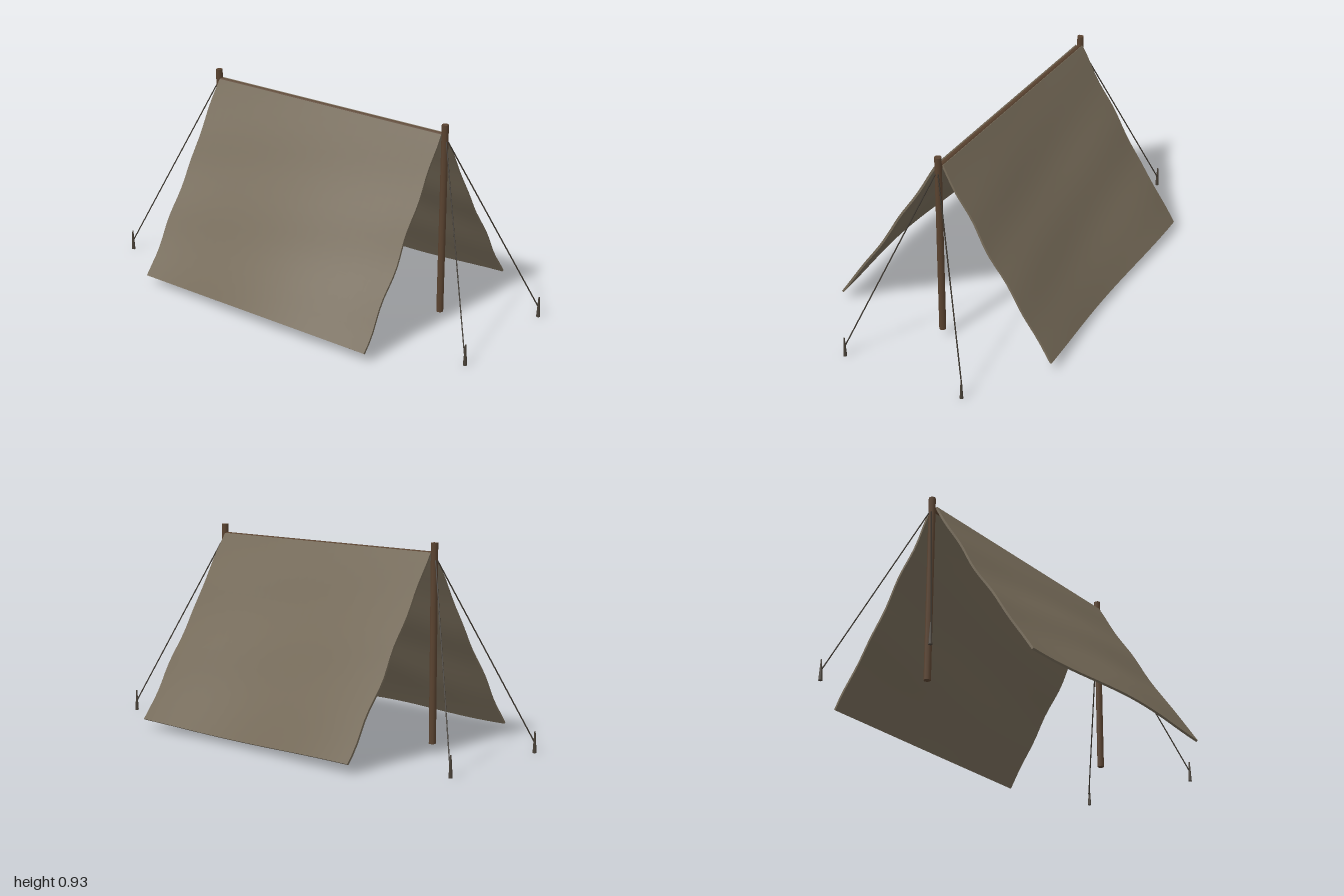
import * as THREE from 'three';

const mat = (color) => new THREE.MeshStandardMaterial({ color, side: THREE.DoubleSide });
const canvasMat = mat(0x746957);
const woodMat = mat(0x5a4330);
const ropeMat = mat(0x3a342c);
const stakeMat = mat(0x4a4238);
const RIDGE_Z = -0.013;

// Round bar between two points
function bar(name, a, b, r0, r1, material, sides = 8) {
  const dir = b.clone().sub(a);
  const mesh = new THREE.Mesh(new THREE.CylinderGeometry(r1, r0, dir.length(), sides), material);
  mesh.position.copy(a).add(b).multiplyScalar(0.5);
  mesh.quaternion.setFromUnitVectors(new THREE.Vector3(0, 1, 0), dir.normalize());
  mesh.name = name;
  return mesh;
}

// Sloping cloth slab, gently sagging and rippled; side is +1 for front, -1 for back
function canvasPanel(name, side) {
  const top = new THREE.Vector2(RIDGE_Z + side * 0.012, 0.885);
  const bottom = new THREE.Vector2(side * 0.547, side > 0 ? 0.048 : 0.036);
  const along = bottom.clone().sub(top);
  const out = new THREE.Vector2(-along.y, along.x).normalize().multiplyScalar(side);
  out.y = Math.abs(out.y);
  const geo = new THREE.BoxGeometry(2, 1, 0.01, 24, 20, 1);
  const p = geo.attributes.position;
  for (let i = 0; i < p.count; i++) {
    const u = p.getX(i);
    const t = 0.5 - p.getY(i);
    // hem wave opposite on the two panels, plus a slack curve down the slope
    const wave = side * 0.014 * t * Math.cos(Math.PI * (u - 0.15 * side));
    const slack = -0.009 * Math.sin(Math.PI * t) + 0.004 * Math.sin(t * 15 + u * 2) * Math.sin(Math.PI * t);
    const n = side * p.getZ(i) * side + wave + slack;
    const x = u * (0.643 + 0.004 * Math.sin(t * 21 + u));
    p.setXYZ(i, x * side, top.y + along.y * t + out.y * n, top.x + along.x * t + out.x * n);
  }
  geo.computeVertexNormals();
  const mesh = new THREE.Mesh(geo, canvasMat);
  mesh.name = name;
  return mesh;
}

// Tapered stake with a short hook that holds the rope
function stake(sx, z) {
  const g = new THREE.Group();
  g.name = 'stake';
  const x = sx * 0.992;
  const v = (dx, y) => new THREE.Vector3(x + sx * dx, y, z);
  g.add(bar('stakeShaft', v(0, 0), v(0, 0.098), 0.009, 0.003, stakeMat, 6));
  g.add(bar('stakeHook', v(0, 0.045), v(-0.007, 0.062), 0.004, 0.003, stakeMat, 6));
  return g;
}

export function createModel() {
  const model = new THREE.Group();
  model.name = 'tent';

  model.add(canvasPanel('frontCanvas', 1), canvasPanel('backCanvas', -1));

  // Ridge pole
  model.add(bar('ridgePole', new THREE.Vector3(-0.655, 0.879, RIDGE_Z),
    new THREE.Vector3(0.655, 0.879, RIDGE_Z), 0.012, 0.012, woodMat));

  // Upright posts with guy ropes and stakes
  for (const sx of [-1, 1]) {
    model.add(bar(sx > 0 ? 'leftPost' : 'rightPost', new THREE.Vector3(sx * 0.655, 0.04, RIDGE_Z),
      new THREE.Vector3(sx * 0.655, 0.93, RIDGE_Z), 0.016, 0.016, woodMat));
    for (const z of [0.286, -0.311]) {
      model.add(bar('guyRope', new THREE.Vector3(sx * 0.66, 0.87, RIDGE_Z),
        new THREE.Vector3(sx * 0.987, 0.053, z), 0.003, 0.003, ropeMat, 6));
      model.add(stake(sx, z));
    }
  }
  return model;
}
